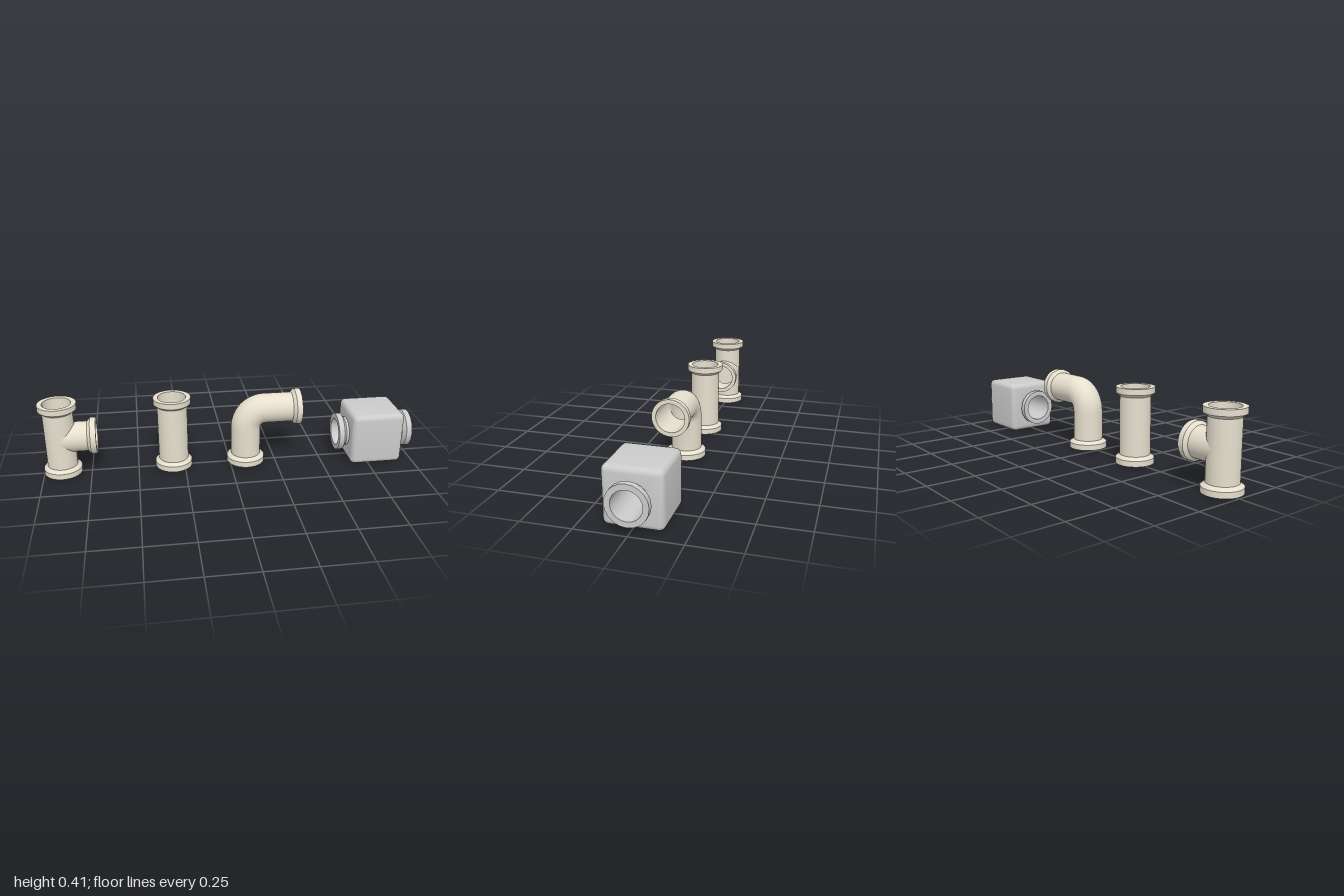
import * as THREE from 'three';
import { toCreasedNormals } from 'three/addons/utils/BufferGeometryUtils.js';

const SEG = 48;
const R_OUT = 0.079; // pipe wall
const R_IN = 0.074;  // bore
const beige = new THREE.MeshStandardMaterial({ color: 0xe6dfce });
const grey = new THREE.MeshStandardMaterial({ color: 0xcccccc });

function part(name, geometry, material) {
  const mesh = new THREE.Mesh(toCreasedNormals(geometry, 0.5), material);
  mesh.name = name;
  return mesh;
}

// Skin a surface through closed rings of equal point count
function loft(rings, inward = false) {
  const n = rings[0].length, index = [];
  for (let j = 0; j < rings.length - 1; j++) {
    for (let i = 0; i < n; i++) {
      const a = j * n + i, b = j * n + (i + 1) % n;
      const tris = inward ? [a, a + n, b, b, a + n, b + n] : [a, b, a + n, b, b + n, a + n];
      index.push(...tris);
    }
  }
  const geometry = new THREE.BufferGeometry().setFromPoints(rings.flat());
  geometry.setIndex(index);
  return geometry;
}

// Ring whose points come from fn(cos, sin)
function ring(fn) {
  return Array.from({ length: SEG }, (_, i) => {
    const t = i / SEG * Math.PI * 2;
    return new THREE.Vector3(...fn(Math.cos(t), Math.sin(t)));
  });
}

function lathe(points, segments) {
  return new THREE.LatheGeometry(points.map(p => new THREE.Vector2(...p)), segments);
}

// Chamfered end flange, outer face at y = 0, growing along +y
function collar(name, radius) {
  const profile = [[R_IN, 0], [radius, 0], [radius, 0.03], [R_OUT, 0.046]];
  return part(name, lathe(profile, SEG), beige);
}

// Straight hollow tube with a flange at each end
function spool(name, length, radius, bore, segments, material) {
  const half = [[bore, 0], [radius, 0], [radius, 0.03], [R_OUT, 0.046]];
  const top = half.map(([r, y]) => [r, length - y]).reverse();
  return part(name, lathe([...half, ...top, [bore, 0]], segments), material);
}

function makeTee() {
  const tee = new THREE.Group();
  tee.name = 'teePipe';
  const bottom = 0.01, top = 0.404, mid = 0.21, reach = 0.19;
  for (const [r, label] of [[R_OUT, 'Outer'], [R_IN, 'Inner']]) {
    const inward = r === R_IN;
    // Main run, cut along the 45 degree mitre towards the branch
    const cut = s => ring((c, d) => [-r * c, mid + s * Math.max(0, -r * c), r * d]);
    const flat = y => ring((c, d) => [-r * c, y, r * d]);
    tee.add(
      part('lowerRun' + label, loft([flat(bottom), cut(-1)], inward), beige),
      part('upperRun' + label, loft([cut(1), flat(top)], inward), beige),
      part('branch' + label, loft([
        ring((c, d) => [Math.abs(r * c), mid + r * c, r * d]),
        ring((c, d) => [reach, mid + r * c, r * d]),
      ], inward), beige));
  }
  const low = collar('bottomFlange', 0.1);
  low.position.y = bottom;
  const high = collar('topFlange', 0.1);
  high.position.y = top;
  high.rotation.x = Math.PI;
  const side = collar('branchFlange', 0.096);
  side.position.set(reach, mid, 0);
  side.rotation.z = Math.PI / 2;
  tee.add(low, high, side);
  return tee;
}

function makeElbow() {
  const elbow = new THREE.Group();
  elbow.name = 'elbowPipe';
  const bend = 0.1, bendY = 0.212, base = 0.01, reach = 0.293;
  for (const [r, label] of [[R_OUT, 'Outer'], [R_IN, 'Inner']]) {
    const rings = [ring((c, d) => [-r * c, base, r * d])];
    for (let i = 0; i <= 16; i++) {
      const t = i / 16 * Math.PI / 2;
      rings.push(ring((c, d) => [
        bend - (bend + r * c) * Math.cos(t), bendY + (bend + r * c) * Math.sin(t), r * d]));
    }
    rings.push(ring((c, d) => [reach, bendY + bend + r * c, r * d]));
    elbow.add(part('elbow' + label, loft(rings, r === R_IN), beige));
  }
  const low = collar('bottomFlange', 0.102);
  low.position.y = base;
  const side = collar('sideFlange', 0.096);
  side.position.set(reach, bendY + bend, 0);
  side.rotation.z = Math.PI / 2;
  elbow.add(low, side);
  return elbow;
}

function makeJunctionBox() {
  const box = new THREE.Group();
  box.name = 'junctionBox';
  const half = 0.142, round = 0.028, steps = 6;
  // Rounded square across x
  const section = (x, h, r) => {
    const pts = [];
    for (let q = 0; q < 4; q++) {
      const mid = (q + 0.5) * Math.PI / 2;
      const cy = Math.sign(Math.cos(mid)) * (h - r), cz = Math.sign(Math.sin(mid)) * (h - r);
      for (let i = 0; i <= steps; i++) {
        const t = (q + i / steps) * Math.PI / 2;
        pts.push(new THREE.Vector3(x, cy + r * Math.cos(t), cz + r * Math.sin(t)));
      }
    }
    return pts;
  };
  // Both ends are open around the bore
  const end = half - round;
  const rings = [section(-half, 0.075, 0.075)];
  for (const s of [-1, 1]) {
    for (let i = 0; i <= steps; i++) {
      const t = (s < 0 ? steps - i : i) / steps * Math.PI / 2;
      rings.push(section(s * (end + round * Math.sin(t)),
        end + round * Math.cos(t), round * Math.cos(t)));
    }
  }
  rings.push(section(half, 0.075, 0.075));
  box.add(part('boxBody', loft(rings), grey));

  const nozzles = spool('boxNozzles', 0.41, 0.101, 0.073, 20, grey);
  nozzles.rotation.z = -Math.PI / 2;
  nozzles.position.x = -0.202;
  box.add(nozzles);
  return box;
}

export function createModel() {
  const model = new THREE.Group();
  model.name = 'pipeSet';

  const tee = makeTee();
  tee.position.x = -0.9;

  const straight = spool('straightPipe', 0.394, 0.099, R_IN, SEG, beige);
  straight.position.set(-0.308, 0.01, 0);

  const elbow = makeElbow();
  elbow.position.x = 0.087;

  const box = makeJunctionBox();
  box.position.set(0.792, 0.145, 0);

  model.add(tee, straight, elbow, box);
  return model;
}
